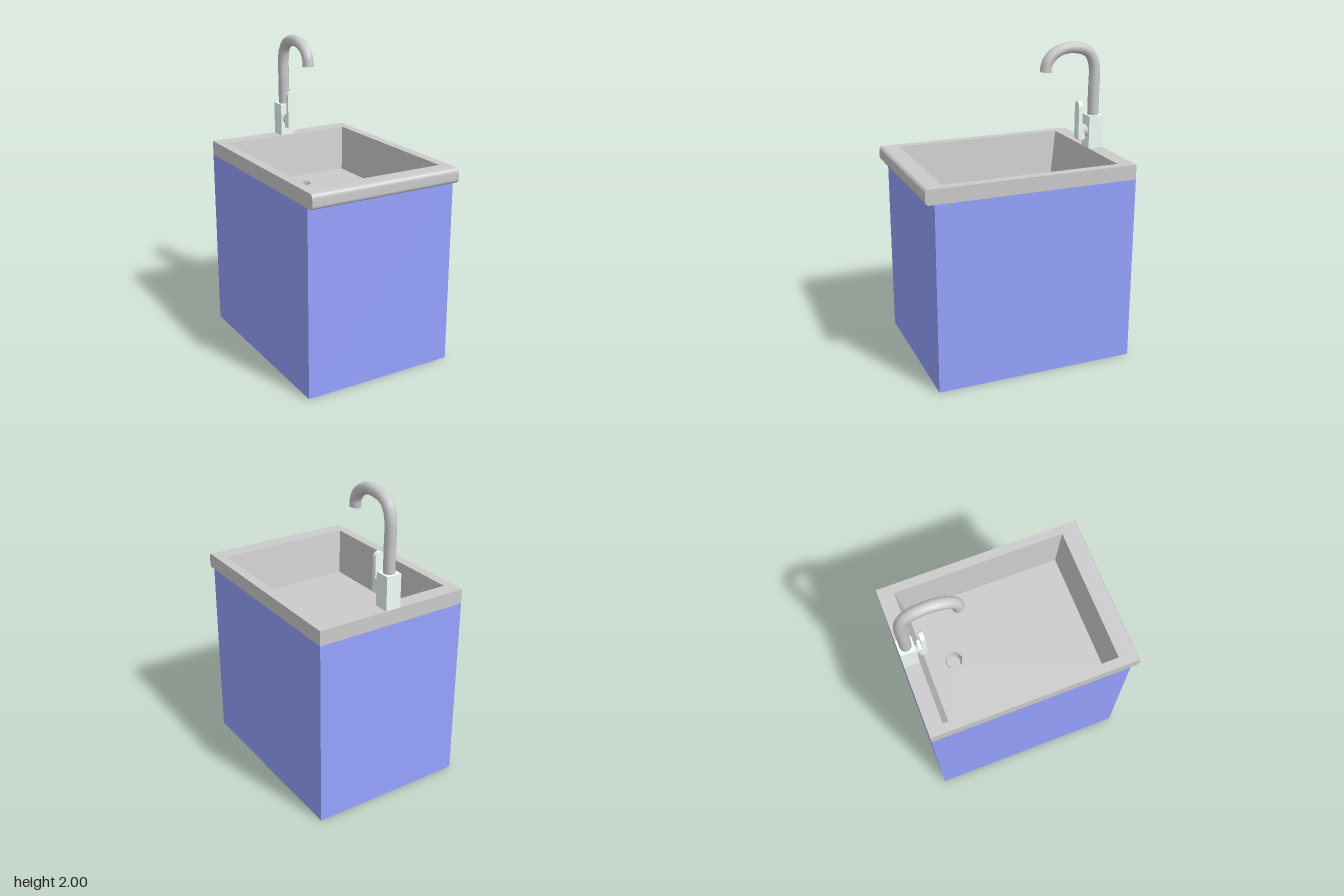
import * as THREE from 'three';
import { toCreasedNormals } from 'three/addons/utils/BufferGeometryUtils.js';

const W = 0.51, BACK = -0.68, FRONT = 0.68, TOP = 1.305, UNDER = 1.21, FLOOR = 1.01;
const TAP_X = 0.01;

const steel = new THREE.MeshStandardMaterial({ color: 0xcccccc });
const steelThin = new THREE.MeshStandardMaterial({ color: 0xcccccc, side: THREE.DoubleSide });
const blue = new THREE.MeshStandardMaterial({ color: 0x96a3ff });
const pale = new THREE.MeshStandardMaterial({ color: 0xf2fff8 });

function add(parent, name, geometry, material, x = 0, y = 0, z = 0) {
  const mesh = new THREE.Mesh(geometry, material);
  mesh.name = name;
  mesh.position.set(x, y, z);
  parent.add(mesh);
  return mesh;
}

// Corners of a rectangle on the ground plane, as [x, z]
const corners = (x, z0, z1) => [[-x, z0], [-x, z1], [x, z1], [x, z0]];
// Plan outline whose z turns the right way once laid flat
const plan = (pts) => pts.map(([x, z]) => new THREE.Vector2(x, -z));

export function createModel() {
  const model = new THREE.Group();
  model.name = 'sinkUnit';

  // Cabinet: a box whose top is open below the basin
  const cabinetGeo = new THREE.BoxGeometry(2 * W, UNDER, 0.625 - BACK);
  const faces = Array.from(cabinetGeo.index.array);
  cabinetGeo.setIndex(faces.filter((_, i) => i < 12 || i >= 18));
  cabinetGeo.clearGroups();
  add(model, 'cabinet', cabinetGeo, blue, 0, UNDER / 2, (0.625 + BACK) / 2);

  // Countertop with the basin opening
  const opening = corners(0.45, -0.58, 0.56);
  const slab = new THREE.Shape(plan(corners(W, BACK, 0.62)));
  slab.holes.push(new THREE.Path(plan(opening)));
  const slabGeo = new THREE.ExtrudeGeometry(slab, { depth: TOP - UNDER, bevelEnabled: false });
  add(model, 'countertop', slabGeo.rotateX(-Math.PI / 2), steel, 0, UNDER, 0);

  // Rounded front lip overhanging the cabinet
  const r = 0.025;
  const lip = new THREE.Shape();
  lip.moveTo(0.62, UNDER);
  lip.lineTo(FRONT - r, UNDER);
  lip.absarc(FRONT - r, UNDER + r, r, -Math.PI / 2, 0, false);
  lip.absarc(FRONT - r, TOP - r, r, 0, Math.PI / 2, false);
  lip.lineTo(0.62, TOP);
  const lipGeo = new THREE.ExtrudeGeometry(lip, { depth: 2 * W, bevelEnabled: false, curveSegments: 6 });
  add(model, 'frontLip', toCreasedNormals(lipGeo.rotateY(-Math.PI / 2), 0.6), steel, W, 0, 0);

  // Sloping basin walls between the opening and the floor
  const base = corners(0.42, -0.535, 0.515);
  const walls = [];
  for (let i = 0; i < 4; i++) {
    const j = (i + 1) % 4;
    const a = [opening[i][0], TOP, opening[i][1]], b = [opening[j][0], TOP, opening[j][1]];
    const c = [base[j][0], FLOOR, base[j][1]], d = [base[i][0], FLOOR, base[i][1]];
    walls.push(...a, ...d, ...c, ...a, ...c, ...b);
  }
  const wallGeo = new THREE.BufferGeometry();
  wallGeo.setAttribute('position', new THREE.Float32BufferAttribute(walls, 3));
  wallGeo.computeVertexNormals();
  add(model, 'basinWalls', wallGeo, steelThin);

  // Basin floor with an eight-sided drain
  const drainZ = -0.365, drainR = 0.06, drainDepth = 0.05;
  const ring = Array.from({ length: 8 }, (_, i) => {
    const t = i * Math.PI / 4;
    return [drainR * Math.cos(t), drainZ + drainR * Math.sin(t)];
  });
  const floor = new THREE.Shape(plan(base));
  floor.holes.push(new THREE.Path(plan(ring)));
  add(model, 'basinFloor', new THREE.ShapeGeometry(floor).rotateX(-Math.PI / 2), steelThin, 0, FLOOR, 0);
  add(model, 'drainWall', new THREE.CylinderGeometry(drainR, 0.045, drainDepth, 8, 1, true),
    steelThin, 0, FLOOR - drainDepth / 2, drainZ);
  add(model, 'drainBottom', new THREE.CircleGeometry(0.045, 8).rotateX(-Math.PI / 2),
    steelThin, 0, FLOOR - drainDepth, drainZ);

  // Tap: block, curved spout and lever
  const tap = new THREE.Group();
  tap.name = 'tap';
  tap.position.x = TAP_X;
  model.add(tap);
  add(tap, 'tapBlock', new THREE.BoxGeometry(0.1, 0.215, 0.1), pale, 0, TOP + 0.1075, -0.63);

  const path = [[1.51, -0.63], [1.67, -0.63], [1.83, -0.63], [1.905, -0.607], [1.945, -0.565],
    [1.963, -0.505], [1.963, -0.415], [1.928, -0.335], [1.875, -0.293], [1.82, -0.285]]
    .map(([y, z]) => new THREE.Vector3(0, y, z));
  const curve = new THREE.CatmullRomCurve3(path);
  add(tap, 'spout', new THREE.TubeGeometry(curve, 24, 0.037, 10), steel);
  add(tap, 'spoutEnd', new THREE.CircleGeometry(0.037, 10).rotateX(Math.PI / 2), steelThin, 0, 1.821, -0.285);

  // Lever plate with a round top
  const hw = 0.031;
  const plate = new THREE.Shape();
  plate.moveTo(-hw, 1.365);
  plate.lineTo(hw, 1.365);
  plate.absarc(0, 1.615 - hw, hw, 0, Math.PI, false);
  const plateGeo = new THREE.ExtrudeGeometry(plate, { depth: 0.027, bevelEnabled: false, curveSegments: 8 });
  add(tap, 'lever', toCreasedNormals(plateGeo, 0.6), pale, 0, 0, -0.54);
  add(tap, 'leverFoot', new THREE.BoxGeometry(2 * hw, 0.095, 0.022), pale, 0, 1.4125, -0.551);
  add(tap, 'leverPivot', new THREE.CylinderGeometry(0.037, 0.037, 0.03, 10).rotateX(Math.PI / 2),
    steel, 0, 1.417, -0.573);

  return model;
}
